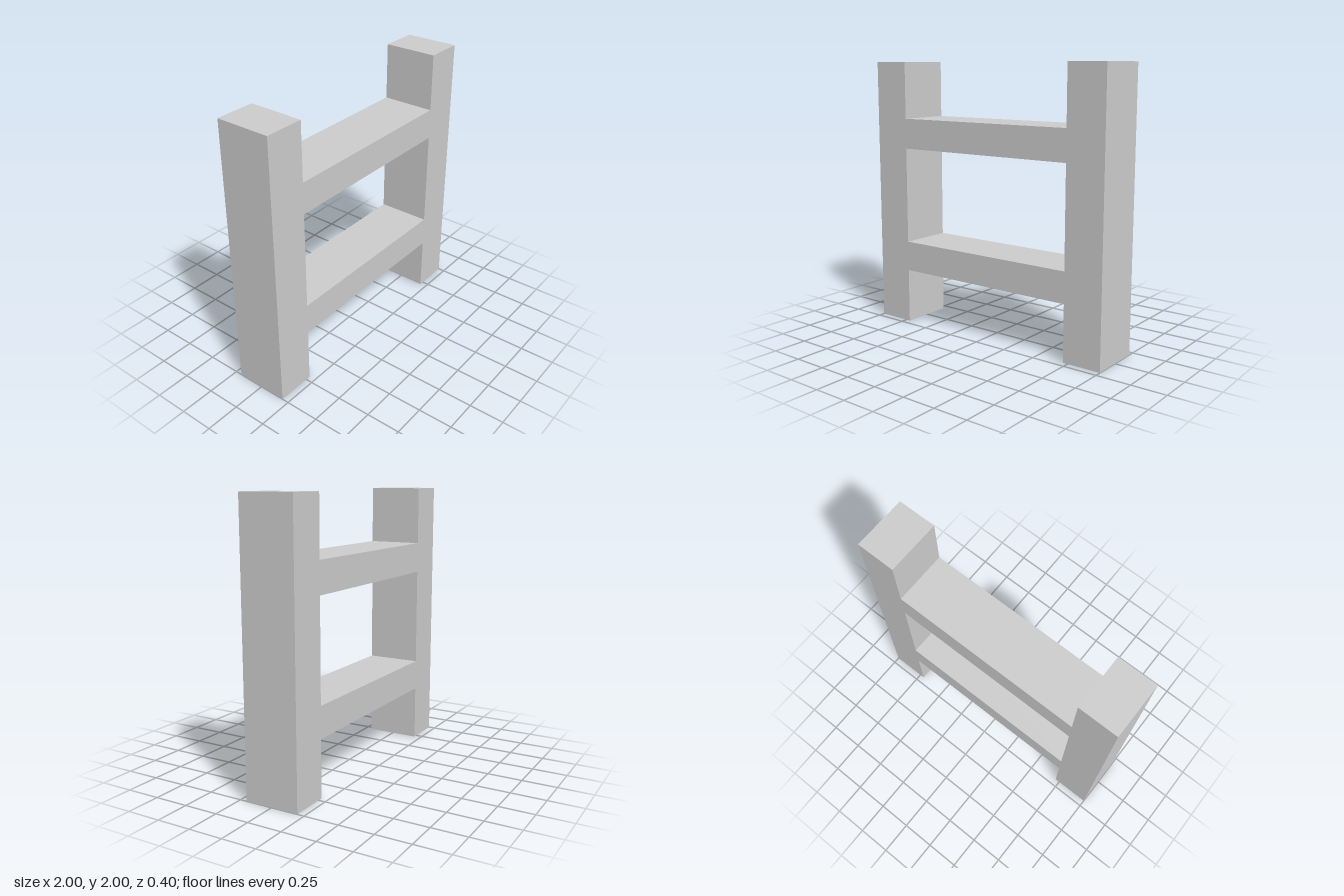
import * as THREE from 'three';

export function createModel() {
  const group = new THREE.Group();
  group.name = 'fence';
  const material = new THREE.MeshStandardMaterial({ color: 0xcccccc, flatShading: true });

  const outer = 1, inner = 0.714, height = 2, depth = 0.4;
  const lower = [0.41, 0.635], upper = [1.355, 1.58]; // bottom and top of each rail

  // Two posts and two flush rails, cut as one outline
  const outline = new THREE.Shape([
    [-outer, 0], [-inner, 0], [-inner, lower[0]], [inner, lower[0]], [inner, 0], [outer, 0],
    [outer, height], [inner, height], [inner, upper[1]], [-inner, upper[1]], [-inner, height], [-outer, height],
  ].map(([x, y]) => new THREE.Vector2(x, y)));

  // Opening between the rails
  outline.holes.push(new THREE.Path([
    [-inner, lower[1]], [-inner, upper[0]], [inner, upper[0]], [inner, lower[1]],
  ].map(([x, y]) => new THREE.Vector2(x, y))));

  const geometry = new THREE.ExtrudeGeometry(outline, { depth, bevelEnabled: false });
  geometry.translate(0, 0, -depth / 2);

  const frame = new THREE.Mesh(geometry, material);
  frame.name = 'postsAndRails';
  group.add(frame);
  return group;
}
